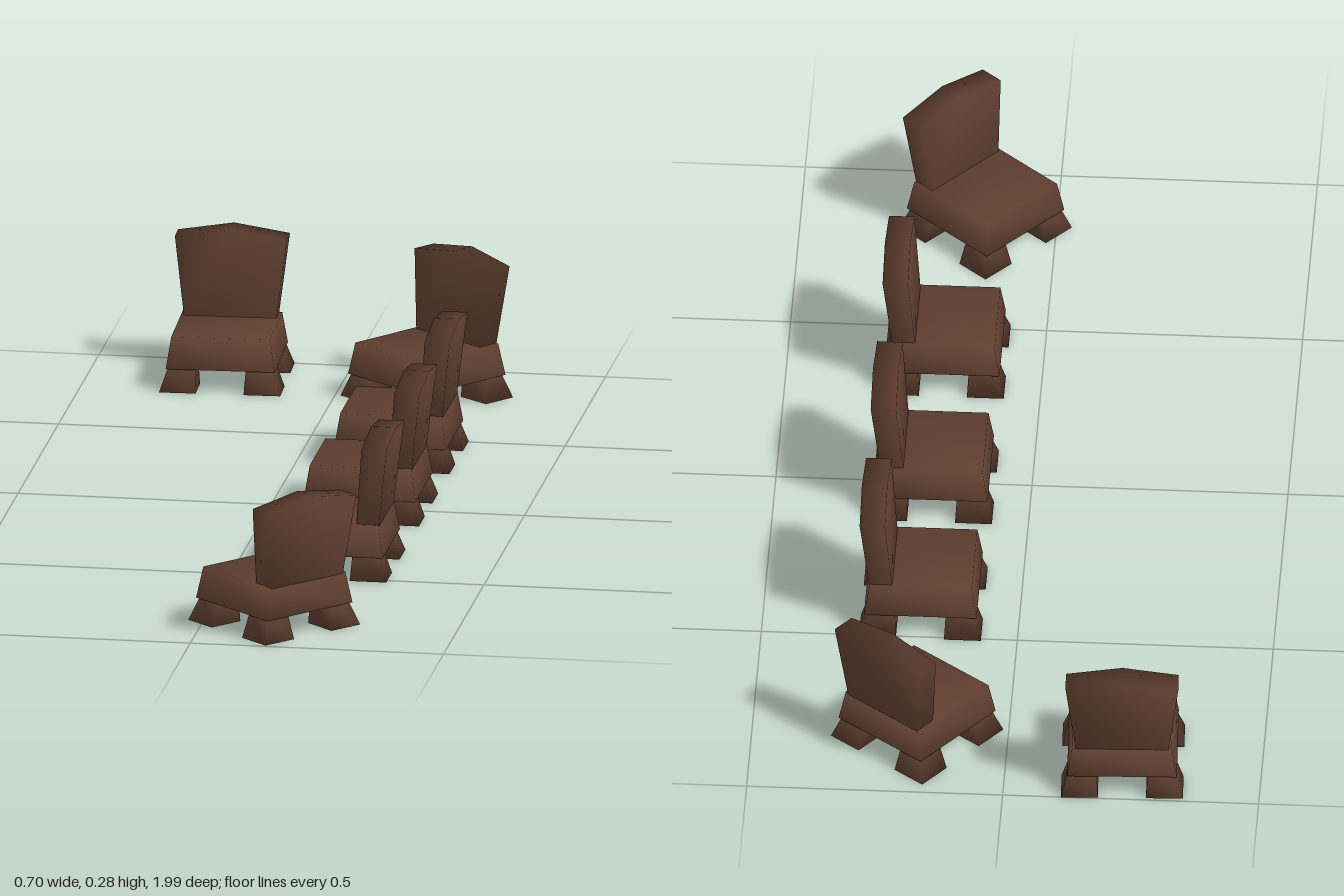
import * as THREE from 'three';

const wood = new THREE.MeshStandardMaterial({ color: 0x5e3e2f });
wood.name = 'dark brown wood';

// Skin a stack of equal-length rings with soft shared normals and capped ends.
function loft(rings) {
  const n = rings[0].length, last = (rings.length - 1) * n, index = [];
  for (let r = 0; r < rings.length - 1; r++) {
    for (let j = 0; j < n; j++) {
      const a = r * n + j, b = r * n + (j + 1) % n;
      index.push(a, a + n, b + n, a, b + n, b);
    }
  }
  for (let j = 1; j < n - 1; j++) {
    index.push(0, j, j + 1, last, last + j + 1, last + j);
  }
  const geometry = new THREE.BufferGeometry();
  geometry.setAttribute('position', new THREE.Float32BufferAttribute(rings.flat(2), 3));
  geometry.setIndex(index);
  geometry.computeVertexNormals();
  return geometry;
}

// Horizontal rectangle, counter-clockwise from above.
const rect = (x0, x1, z0, z1, y) => [[x0, y, z1], [x1, y, z1], [x1, y, z0], [x0, y, z0]];
const centred = (w, d, y) => rect(-w, w, -d, d, y);

// Seat block, wider at the bottom, with a shallow hollow underneath.
const seatGeometry = loft([
  centred(0.097, 0.1, 0.108),
  centred(0.107, 0.11, 0.045),
  centred(0.095, 0.098, 0.045),
  centred(0.093, 0.096, 0.062),
]);

// Flared backrest with a peaked top, leaning slightly backwards.
const backOutline = [[-0.09, 0.1], [0.09, 0.1], [0.11, 0.264], [0, 0.281], [-0.11, 0.264]];
const backRing = (zBottom, zTop) =>
  backOutline.map(([x, y]) => [x, y, zBottom + (zTop - zBottom) * (y - 0.1) / 0.181]);
const backGeometry = loft([backRing(-0.055, -0.07), backRing(-0.1, -0.12)]);

// Splayed leg, centred on its own foot.
const legGeometry = (sx, sz) => {
  const ring = (inner, outer, y) => {
    const [x0, x1] = sx > 0 ? [inner, outer] : [-outer, -inner];
    const [z0, z1] = sz > 0 ? [inner, outer] : [-outer, -inner];
    return rect(x0, x1, z0, z1, y);
  };
  return loft([ring(0.05, 0.1, 0.056), ring(0.047, 0.119, 0)]);
};

function part(name, geometry) {
  const mesh = new THREE.Mesh(geometry, wood);
  mesh.name = name;
  return mesh;
}

function createChair() {
  const chair = new THREE.Group();
  chair.add(part('seat', seatGeometry), part('backrest', backGeometry));
  for (const sx of [-1, 1]) {
    for (const sz of [-1, 1]) {
      const name = (sz > 0 ? 'front' : 'rear') + (sx > 0 ? 'Left' : 'Right') + 'Leg';
      chair.add(part(name, legGeometry(sx, sz)));
    }
  }
  return chair;
}

export function createModel() {
  const model = new THREE.Group();
  model.name = 'chairs';
  // x, z and turn of each chair around the missing table
  const places = [
    [-0.228, -0.877, 0.04],
    [0.178, -0.808, -0.67],
    [0.19, -0.387, -Math.PI / 2],
    [0.19, -0.01, -Math.PI / 2],
    [0.19, 0.395, -Math.PI / 2],
    [0.138, 0.826, -2.3],
  ];
  places.forEach(([x, z, turn], i) => {
    const chair = createChair();
    chair.name = 'chair' + (i + 1);
    chair.position.set(x, 0, z);
    chair.rotation.y = turn;
    model.add(chair);
  });
  return model;
}
